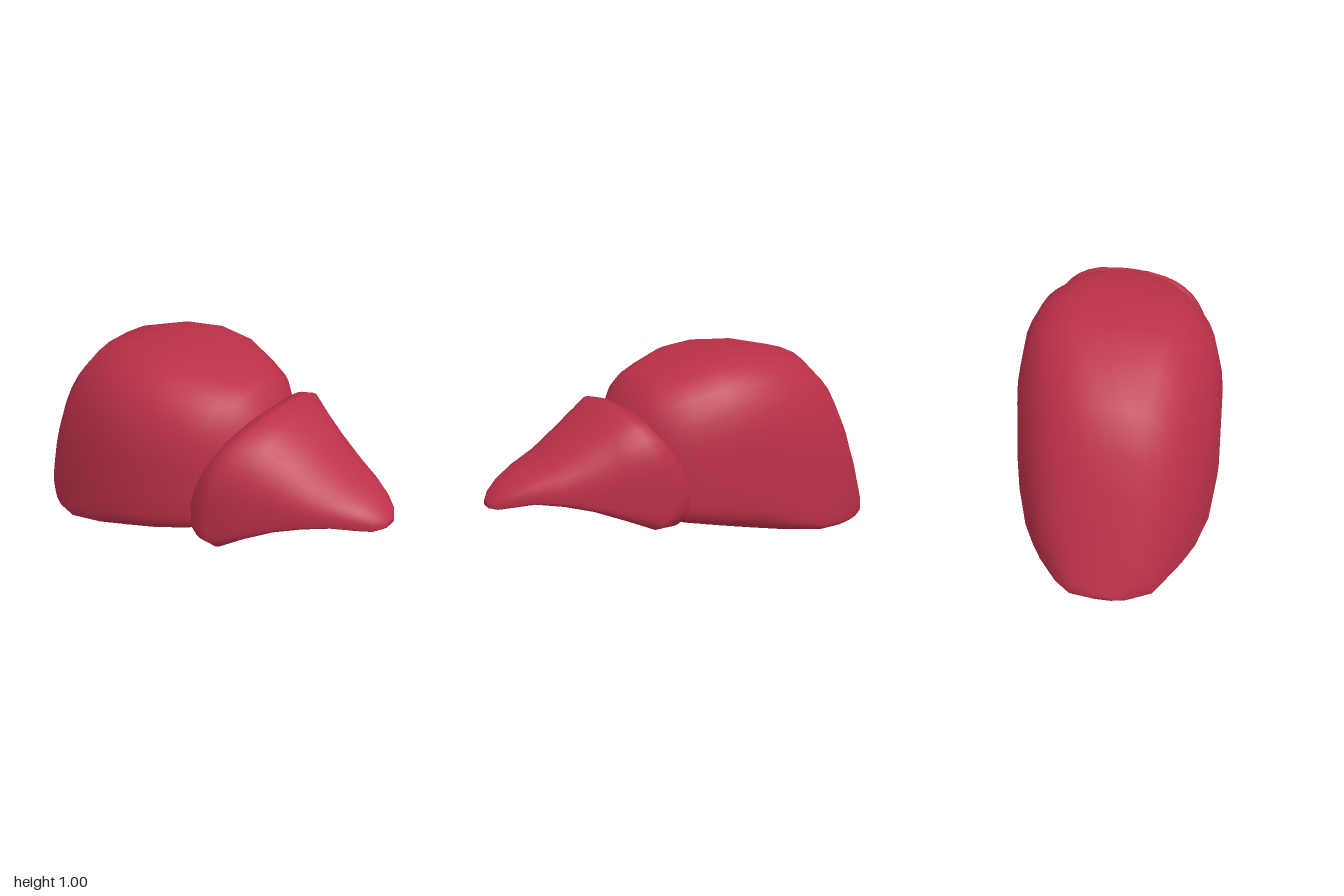
import * as THREE from 'three';

const SEGMENTS = 40;

// Lofts a closed skin through rounded cross-sections that are widest at bellyY.
// ring: [z, centreX, halfWidth, bottomY, bellyY, topY, topPower, underArch, rimBend]
// tilt raises the left side and lowers the right, in proportion to the width
function loft(rings, bottomPower, tilt) {
  const positions = [];
  const index = [];
  const centres = [];
  for (const [z, cx, hw, yb, belly, yt, topPower, arch = 0, bend = 0] of rings) {
    const sum = new THREE.Vector3();
    for (let j = 0; j < SEGMENTS; j++) {
      const a = (j / SEGMENTS) * Math.PI * 2;
      const c = Math.cos(a), s = Math.sin(a);
      const e = 2 / (s >= 0 ? topPower : bottomPower);
      const u = Math.sign(c) * Math.abs(c) ** e;
      const v = Math.abs(s) ** e;
      // hollow the underside, and lean the rim forward at top and bottom
      const y = s >= 0 ? belly + (yt - belly) * v : belly - (belly - yb) * v + arch * v * (1 - u * u);
      const up = THREE.MathUtils.clamp((y - 0.45) / 0.36, 0, 1);
      const down = THREE.MathUtils.clamp((0.36 - y) / 0.1, 0, 1);
      const lean = 0.17 * up ** 1.3 + 0.07 * down + 0.02 * (1 - u) * (1 - up);
      const p = new THREE.Vector3(cx + hw * u, y + tilt * hw * u, z + bend * lean);
      positions.push(p.x, p.y, p.z);
      sum.add(p);
    }
    centres.push(sum.divideScalar(SEGMENTS));
  }
  const last = rings.length - 1;
  const startCap = positions.length / 3;
  for (const c of [centres[0], centres[last]]) positions.push(c.x, c.y, c.z);
  for (let j = 0; j < SEGMENTS; j++) {
    const k = (j + 1) % SEGMENTS;
    for (let i = 0; i < last; i++) {
      const a = i * SEGMENTS, b = a + SEGMENTS;
      index.push(a + j, a + k, b + j, a + k, b + k, b + j);
    }
    index.push(startCap, k, j);
    index.push(startCap + 1, last * SEGMENTS + j, last * SEGMENTS + k);
  }
  const geometry = new THREE.BufferGeometry();
  geometry.setAttribute('position', new THREE.Float32BufferAttribute(positions, 3));
  geometry.setIndex(index);
  geometry.computeVertexNormals();
  return geometry;
}

export function createModel() {
  const group = new THREE.Group();
  group.name = 'liver';
  const tissue = new THREE.MeshStandardMaterial({ color: 0xbb3048 });
  tissue.name = 'liver red';

  // Large domed lobe with a flat base, from the low back edge to its front end
  const large = new THREE.Mesh(loft([
    [-1.0, 0, 0.05, 0.025, 0.035, 0.055, 2],
    [-0.98, 0.02, 0.13, 0.014, 0.035, 0.10, 2.1],
    [-0.93, 0, 0.215, 0.009, 0.05, 0.24, 2.2],
    [-0.84, 0.006, 0.287, 0.019, 0.08, 0.475, 2.3],
    [-0.77, 0.004, 0.333, 0.027, 0.095, 0.645, 2.4],
    [-0.68, 0.002, 0.383, 0.04, 0.12, 0.8, 2.5],
    [-0.53, 0, 0.435, 0.063, 0.16, 0.935, 2.8],
    [-0.33, 0, 0.466, 0.108, 0.28, 0.985, 3.2],
    [-0.16, 0, 0.466, 0.15, 0.39, 1.0, 3.3],
    [0, 0.002, 0.442, 0.19, 0.43, 0.99, 3.2, 0.01],
    [0.15, 0.006, 0.392, 0.225, 0.45, 0.95, 2.9, 0.02],
    [0.24, 0.01, 0.345, 0.245, 0.47, 0.92, 2.8, 0.025],
    [0.3, 0.01, 0.285, 0.275, 0.5, 0.89, 2.6, 0.02],
    [0.36, 0.01, 0.21, 0.36, 0.54, 0.80, 2.4],
    [0.4, 0.01, 0.12, 0.45, 0.56, 0.70, 2.2],
  ], 4, 0.07), tissue);
  large.name = 'largeLobe';

  // Small wedge lobe, from its tucked-in rim to the thin front tip
  const small = new THREE.Mesh(loft([
    [0.3, 0.01, 0.24, 0.38, 0.5, 0.70, 2.6],
    [0.24, 0.012, 0.345, 0.28, 0.47, 0.77, 2.7, 0.04, 0.8],
    [0.2, 0.015, 0.395, 0.232, 0.46, 0.805, 2.7, 0.07, 1],
    [0.3, 0.012, 0.395, 0.232, 0.46, 0.825, 2.7, 0.07, 0.75],
    [0.46, 0.014, 0.338, 0.3, 0.465, 0.785, 2.5, 0.06, 0.3],
    [0.6, 0.016, 0.285, 0.376, 0.475, 0.725, 2.3, 0.035],
    [0.72, 0.02, 0.235, 0.425, 0.485, 0.645, 2.2, 0.015],
    [0.83, 0.022, 0.18, 0.452, 0.49, 0.595, 2.2],
    [0.92, 0.03, 0.125, 0.446, 0.478, 0.548, 2.2],
    [0.97, 0.035, 0.085, 0.441, 0.464, 0.508, 2.2],
    [1.0, 0.04, 0.035, 0.445, 0.455, 0.475, 2],
  ], 5, 0.1), tissue);
  small.name = 'smallLobe';

  group.add(large, small);
  return group;
}
